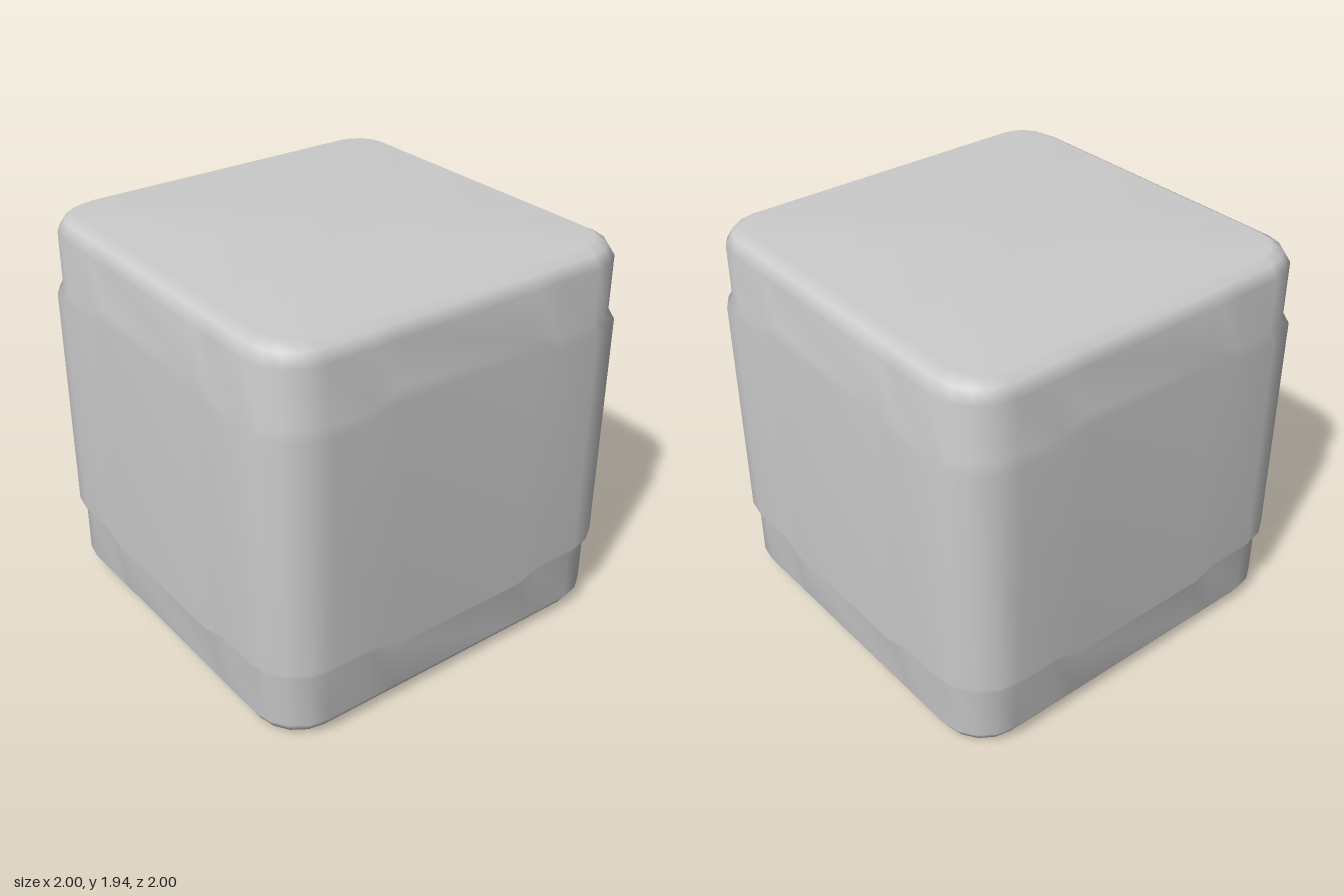
import * as THREE from 'three';

const FLAT = 0.73; // half length of the straight part of each side

// Rounded-square outline as steps: side position, corner angle, and band-edge lift
function outlineSteps() {
  const steps = [];
  for (let side = 0; side < 4; side++) {
    for (const t of [-FLAT, -0.5, -0.37, 0.37, 0.5]) {
      steps.push({ side, t, angle: 0, lift: Math.abs(t) < 0.4 ? 1 : 0 });
    }
    for (let i = 0; i < 4; i++) {
      steps.push({ side, t: FLAT, angle: (i / 4) * Math.PI / 2, lift: 0 });
    }
  }
  return steps;
}

// One outline point for a ring of half width h
function outlinePoint({ side, t, angle }, h, y) {
  const r = h - FLAT;
  const p = new THREE.Vector3(FLAT + r * Math.cos(angle), y, -(t + r * Math.sin(angle)));
  return p.applyAxisAngle(new THREE.Vector3(0, 1, 0), side * Math.PI / 2);
}

// Loft of stacked rings, closed by a fan at the bottom and top
function loft(rings) {
  const steps = outlineSteps(), n = steps.length;
  const positions = [], index = [];
  for (const { h, y, lift = 0 } of rings) {
    for (const s of steps) positions.push(...outlinePoint(s, h, y + lift * s.lift).toArray());
  }
  const bottom = rings.length * n, top = bottom + 1, last = (rings.length - 1) * n;
  positions.push(0, rings[0].y, 0, 0, rings[rings.length - 1].y, 0);
  for (let j = 0; j < n; j++) {
    const k = (j + 1) % n;
    for (let i = 0; i < rings.length - 1; i++) {
      const a = i * n + j, b = i * n + k;
      index.push(a, b, a + n, b, b + n, a + n);
    }
    index.push(bottom, k, j, top, last + j, last + k);
  }
  const geometry = new THREE.BufferGeometry();
  geometry.setAttribute('position', new THREE.Float32BufferAttribute(positions, 3));
  geometry.setIndex(index);
  geometry.computeVertexNormals();
  return geometry;
}

export function createModel() {
  const group = new THREE.Group();
  group.name = 'bandedCube';

  // Lower half of the profile: rounded rim, recessed wall, stepped edge of the raised band
  const height = 1.94;
  const lower = [
    { h: 0.88, y: 0 },
    { h: 0.935, y: 0.03 },
    { h: 0.97, y: 0.085 },
    { h: 0.97, y: 0.345, lift: -0.04 },
    { h: 1, y: 0.395, lift: -0.045 },
  ];
  const upper = lower.map(({ h, y, lift = 0 }) => ({ h, y: height - y, lift: -lift })).reverse();

  const material = new THREE.MeshStandardMaterial({ color: 0xcccccc });
  const body = new THREE.Mesh(loft([...lower, ...upper]), material);
  body.name = 'body';
  group.add(body);
  return group;
}
